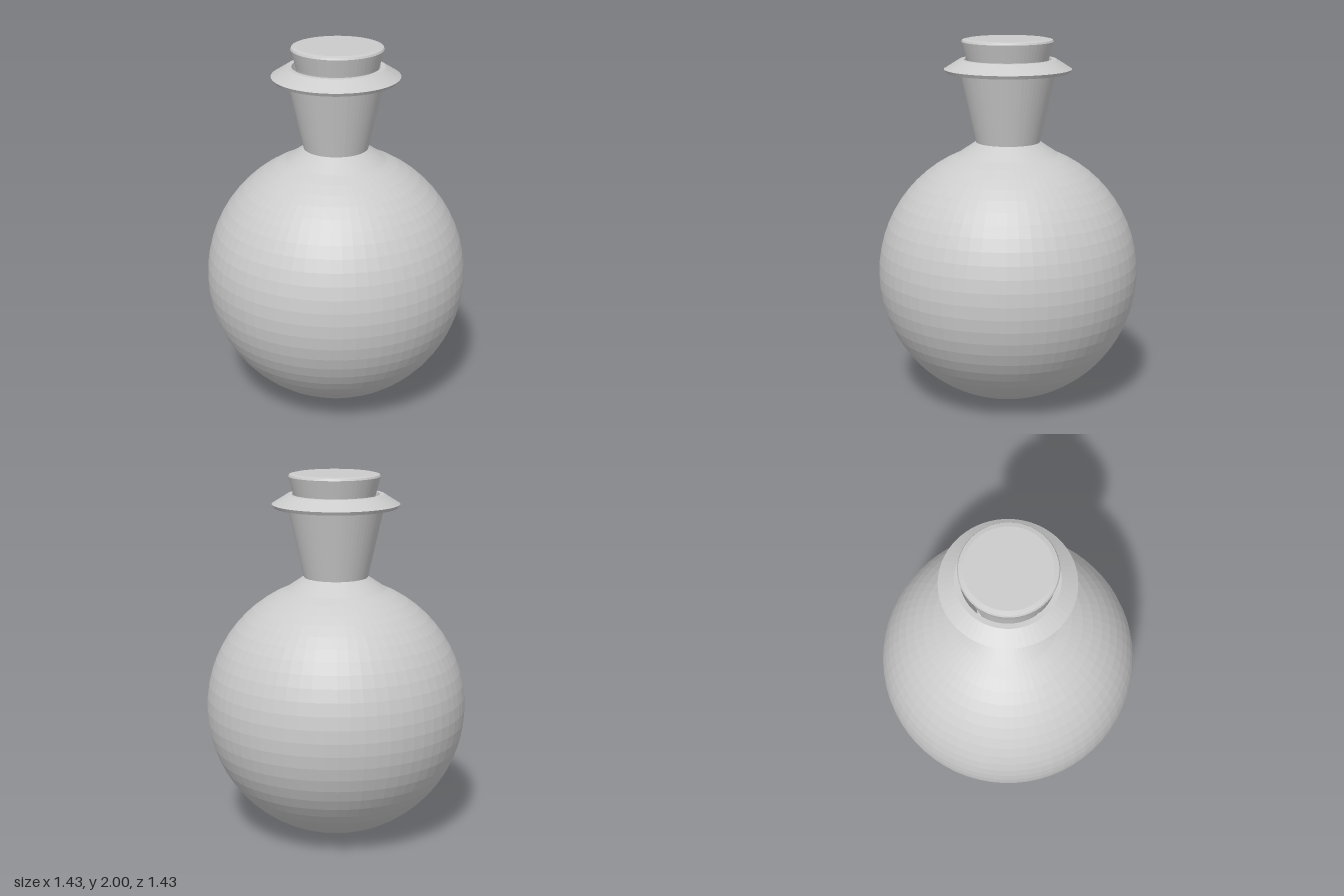
import * as THREE from 'three';

const SEGMENTS = 64;

function turned(name, points) {
  const profile = points.map(([r, y]) => new THREE.Vector2(r, y));
  const material = new THREE.MeshStandardMaterial({
    color: 0xcccccc, flatShading: true, side: THREE.DoubleSide,
  });
  const mesh = new THREE.Mesh(new THREE.LatheGeometry(profile, SEGMENTS), material);
  mesh.name = name;
  return mesh;
}

export function createModel() {
  const group = new THREE.Group();
  group.name = 'corkedFlask';

  // Round body, closing in to a small shoulder under the neck
  const radius = 0.715;
  const rings = 32;
  const body = [];
  for (let i = 0; i <= 28; i++) {
    const a = (i / rings) * Math.PI;
    body.push([radius * Math.sin(a), radius - radius * Math.cos(a)]);
  }
  body.push([0.2, 1.425], [0.175, 1.442]);
  group.add(turned('body', body));

  // Neck widening upwards
  group.add(turned('neck', [[0.175, 1.442], [0.257, 1.81]]));

  // Flared lip, with the inside of the mouth
  group.add(turned('lip', [
    [0.257, 1.81], [0.335, 1.82], [0.345, 1.838], [0.262, 1.89], [0.235, 1.89], [0.16, 1.5],
  ]));

  // Tapered cork with a bevelled top, set slightly off centre
  const cork = turned('cork', [
    [0, 1.6], [0.165, 1.6], [0.222, 1.89], [0.248, 1.985], [0.243, 1.995], [0.22, 2], [0, 2],
  ]);
  cork.position.x = 0.008;
  group.add(cork);

  return group;
}
